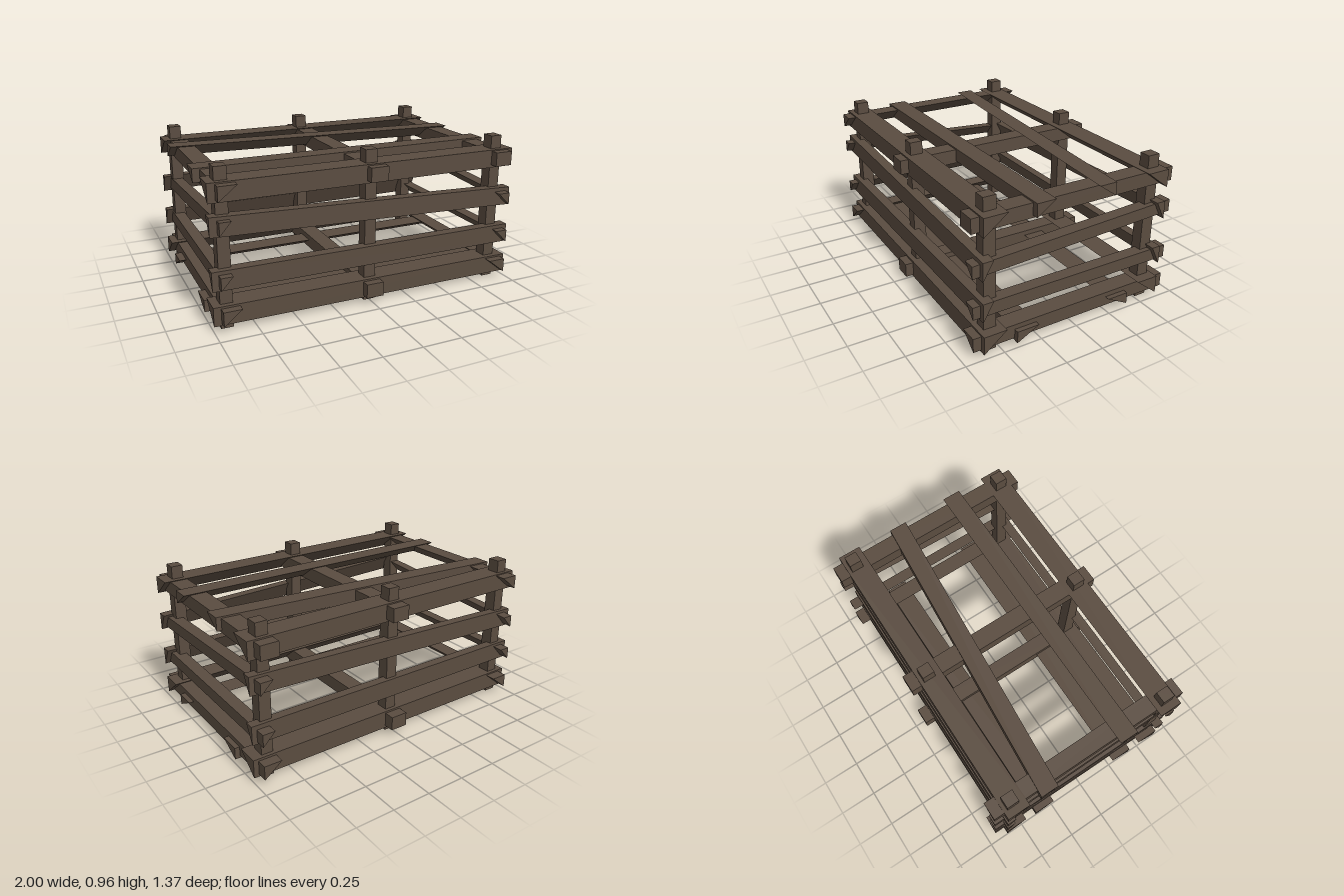
import * as THREE from 'three';
import { ConvexGeometry } from 'three/addons/geometries/ConvexGeometry.js';

export function createModel() {
  const model = new THREE.Group();
  model.name = 'woodenCrate';
  const wood = new THREE.MeshStandardMaterial({ color: 0x5a4c40 });
  wood.name = 'darkWood';

  const add = (name, geometry) => {
    const mesh = new THREE.Mesh(geometry, wood);
    mesh.name = name;
    model.add(mesh);
    return mesh;
  };

  // Square-cut timber
  const block = (name, w, h, d, x, y, z) =>
    add(name, new THREE.BoxGeometry(w, h, d)).position.set(x, y, z);

  // Wedge-cut rail: flat top and outer face, slanted inner underside.
  // a and b are the ends of the outer top edge; inward points to the crate's inside.
  const rail = (name, a, b, inward, width, height) => {
    const points = [];
    for (const end of [a, b]) {
      const p = new THREE.Vector3(...end);
      points.push(p,
        p.clone().addScaledVector(new THREE.Vector3(...inward), width),
        p.clone().add(new THREE.Vector3(0, -height, 0)));
    }
    add(name, new ConvexGeometry(points));
  };

  // Six upright posts
  for (const x of [-0.914, 0.002, 0.897])
    for (const z of [-0.553, 0.56])
      block('post', 0.075, 0.965, 0.08, x, 0.4825, z);

  // Long rails: [name, outer z, inward z, y at left end, y at right end, width, height]
  const longRails = [
    ['frontBottomRail', 0.633, -1, 0.155, 0.148, 0.15, 0.117],
    ['frontLowRail', 0.638, -1, 0.374, 0.366, 0.068, 0.12],
    ['frontTiltedRail', 0.638, -1, 0.695, 0.622, 0.068, 0.118],
    ['frontTopRail', 0.633, -1, 0.886, 0.882, 0.15, 0.115],
    ['backBottomRail', -0.617, 1, 0.152, 0.152, 0.15, 0.117],
    ['backLowRail', -0.617, 1, 0.37, 0.37, 0.06, 0.12],
    ['backTiltedRail', -0.617, 1, 0.61, 0.677, 0.06, 0.117],
    ['backTopRail', -0.617, 1, 0.884, 0.884, 0.15, 0.115],
    ['bottomFrontSlat', 0.415, -1, 0.106, 0.106, 0.147, 0.075],
    ['bottomBackSlat', -0.383, 1, 0.106, 0.106, 0.145, 0.075],
    ['topFrontSlat', 0.307, -1, 0.885, 0.885, 0.124, 0.085],
  ];
  for (const [name, z, inZ, yl, yr, w, h] of longRails)
    rail(name, [-1, yl, z], [1, yr, z], [0, 0, inZ], w, h);

  // Skewed slat across the top
  rail('topSkewedSlat', [-1, 0.885, -0.388], [0.99, 0.885, -0.236], [0, 0, 1], 0.118, 0.085);

  // Side rails: [name, outer x, inward x, y at front, y at back, width, height]
  const sideRails = [
    ['leftBottomRail', 0.968, -1, 0.137, 0.137, 0.115, 0.09],
    ['leftLowRail', 0.968, -1, 0.342, 0.342, 0.08, 0.08],
    ['leftTiltedRail', 0.968, -1, 0.598, 0.66, 0.08, 0.078],
    ['rightBottomRail', -0.955, 1, 0.142, 0.142, 0.113, 0.09],
    ['rightLowRail', -0.96, 1, 0.351, 0.351, 0.072, 0.08],
    ['rightTiltedRail', -0.955, 1, 0.674, 0.59, 0.07, 0.08],
    ['rightTopRail', -0.955, 1, 0.877, 0.877, 0.113, 0.09],
  ];
  for (const [name, x, inX, yf, yb, w, h] of sideRails)
    rail(name, [x, yf, 0.685], [x, yb, -0.685], [inX, 0, 0], w, h);

  // Square crossbars
  block('leftTopCrossbar', 0.115, 0.09, 1.37, 0.902, 0.83, 0);
  block('middleTopCrossbar', 0.115, 0.09, 1.37, 0.017, 0.831, 0);
  block('middleBottomCrossbar', 0.113, 0.09, 1.37, 0.001, 0.095, 0);

  return model;
}
